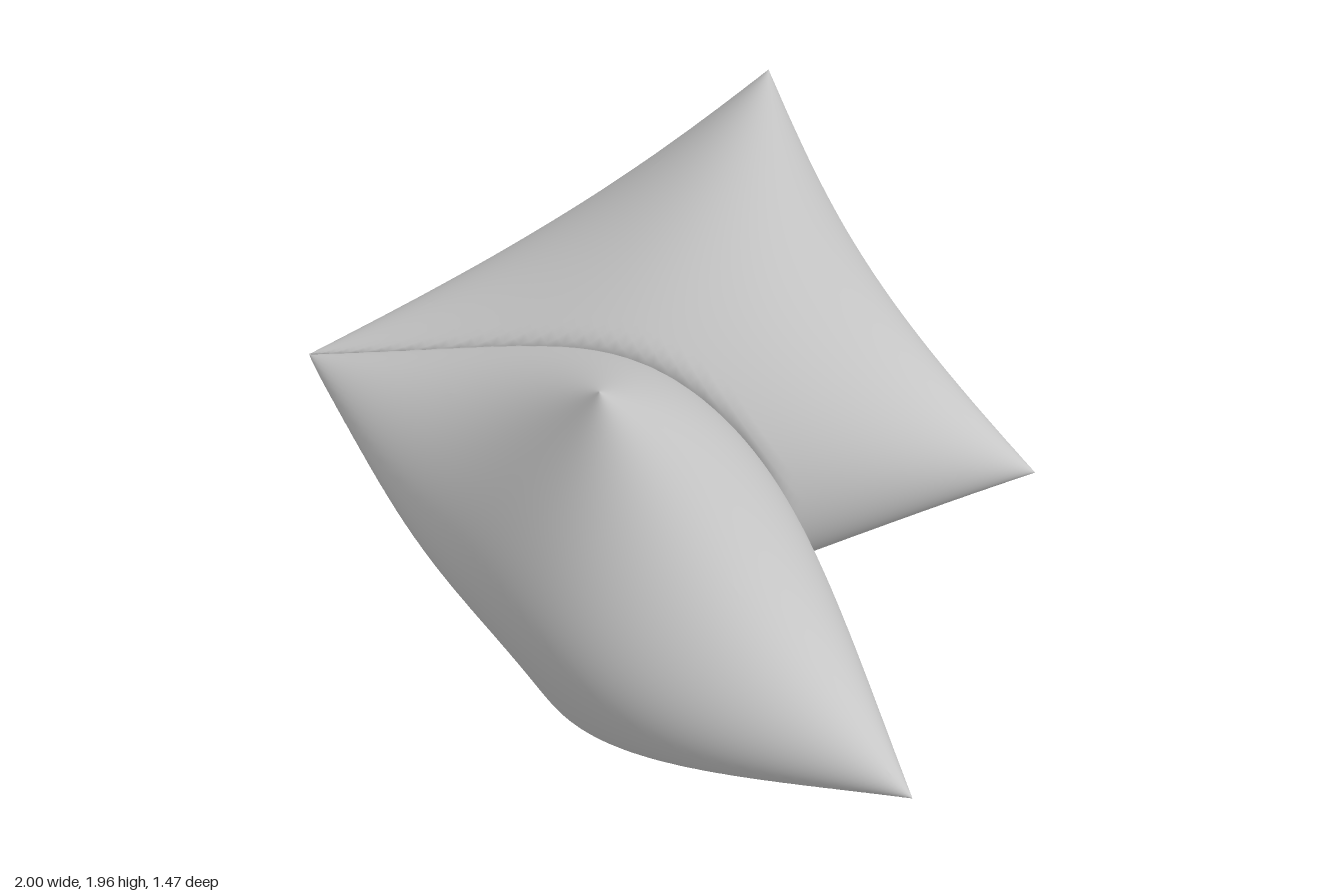
import * as THREE from 'three';
import { ParametricGeometry } from 'three/addons/geometries/ParametricGeometry.js';
import { mergeGeometries, mergeVertices } from 'three/addons/utils/BufferGeometryUtils.js';

const V = (x, y, z) => new THREE.Vector3(x, y, z);
const SEGMENTS = 60;

// Ends of the seam shared by both cushions, and the pull at its middle
const seamTop = V(-1, 1.02, -0.465);
const seamBottom = V(-0.39, 0.005, -0.45);
const pinch = V(0.43, 0.26, 0.27);

// Plane where the two cushions press together, facing the front cushion
const contact = V(-0.465, -0.27, 1.015).normalize();

// Puffed cushion: u runs down the seam, v runs from the seam to the far edge
function cushionGeometry(farTop, farBottom, facing) {
  const halfThickness = 0.425;
  const inset = 0.085;
  const du = farBottom.clone().sub(farTop).normalize();
  const dv = farTop.clone().add(farBottom).sub(seamTop).sub(seamBottom).normalize();
  const normal = du.clone().cross(dv).normalize();

  const side = (sign) => new ParametricGeometry((s, t, target) => {
    // Finer rows towards the edges
    const u = (1 - Math.cos(Math.PI * (sign > 0 ? s : 1 - s))) / 2;
    const v = (1 - Math.cos(Math.PI * t)) / 2;
    const su = Math.max(1e-12, Math.sin(Math.PI * u));
    const sv = Math.max(1e-12, Math.sin(Math.PI * v));
    const far = farTop.clone().lerp(farBottom, u);
    target.copy(seamTop).lerp(seamBottom, u).lerp(far, v);
    // Gathered seam and hollow outer edges
    target.addScaledVector(pinch, su ** 1.3 * (1 - v) ** 2);
    target.addScaledVector(dv, -inset * su * v * v);
    target.addScaledVector(du, inset * sv * ((1 - u) ** 2 - u * u));
    // Stuffing: round along the edges, tapering to points at the corners
    const roundEdge = (2 / (su ** -2 + sv ** -2)) ** 0.25;
    const taper = (su * su + sv * sv - (su * sv) ** 2) ** 0.25;
    target.addScaledVector(normal, sign * halfThickness * roundEdge * taper);
    // Flattened where it meets the other cushion
    const gap = facing * contact.dot(target.clone().sub(seamTop)) - 0.002;
    if (gap < 0) target.addScaledVector(contact, -facing * gap);
  }, SEGMENTS, SEGMENTS);

  const halves = [side(1), side(-1)];
  for (const g of halves) {
    g.deleteAttribute('uv');
    g.deleteAttribute('normal');
  }
  const geometry = mergeVertices(mergeGeometries(halves), 1e-4);
  geometry.computeVertexNormals();
  return geometry;
}

export function createModel() {
  const group = new THREE.Group();
  group.name = 'foldedCushions';
  const material = new THREE.MeshStandardMaterial({ color: 0xcccccc, side: THREE.DoubleSide });

  const cushions = [
    ['frontCushion', V(-0.24, 1.69, 0.72), V(0.54, 0.39, 0.73), 1],
    ['backCushion', V(0.23, 1.96, -0.28), V(1, 0.66, -0.28), -1],
  ];
  for (const [name, farTop, farBottom, facing] of cushions) {
    const mesh = new THREE.Mesh(cushionGeometry(farTop, farBottom, facing), material);
    mesh.name = name;
    group.add(mesh);
  }
  return group;
}
